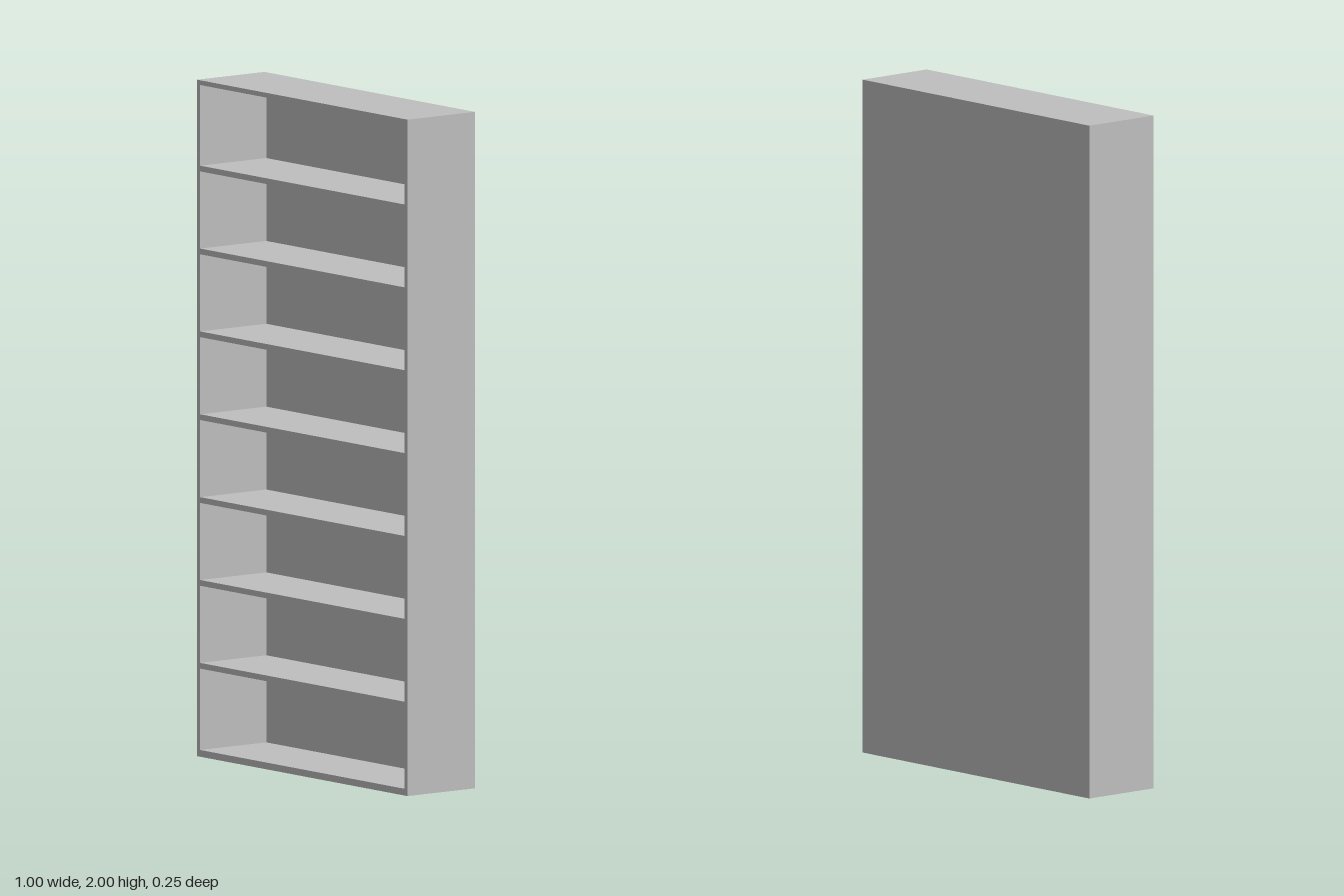
import * as THREE from 'three';

const WIDTH = 1, HEIGHT = 2, DEPTH = 0.25;
const SIDE = 0.015, BASE = 0.02, TOP = 0.014, BACK = 0.005, SHELF = 0.017;
const SHELF_COUNT = 7, FIRST_SHELF = 0.269, PITCH = 0.245;

export function createModel() {
  const model = new THREE.Group();
  model.name = 'bookcase';
  const grey = new THREE.MeshStandardMaterial({ color: 0xbfbfbf });
  grey.name = 'light grey';

  const board = (name, w, h, d, x, y, z) => {
    const mesh = new THREE.Mesh(new THREE.BoxGeometry(w, h, d), grey);
    mesh.name = name;
    mesh.position.set(x, y, z);
    model.add(mesh);
  };

  const innerWidth = WIDTH - 2 * SIDE;
  const innerDepth = DEPTH - BACK;
  const innerHeight = HEIGHT - BASE - TOP;

  // Full-height side panels
  for (const [name, s] of [['leftSide', 1], ['rightSide', -1]]) {
    board(name, SIDE, HEIGHT, DEPTH, s * (WIDTH - SIDE) / 2, HEIGHT / 2, 0);
  }

  // Base and top boards fitted between the sides
  board('base', innerWidth, BASE, DEPTH, 0, BASE / 2, 0);
  board('top', innerWidth, TOP, DEPTH, 0, HEIGHT - TOP / 2, 0);

  // Thin back panel, flush with the rear edges
  board('backPanel', innerWidth, innerHeight, BACK, 0, BASE + innerHeight / 2, (BACK - DEPTH) / 2);

  // Evenly spaced shelves
  for (let i = 0; i < SHELF_COUNT; i++) {
    board(`shelf${i + 1}`, innerWidth, SHELF, innerDepth, 0, FIRST_SHELF + i * PITCH, BACK / 2);
  }
  return model;
}
